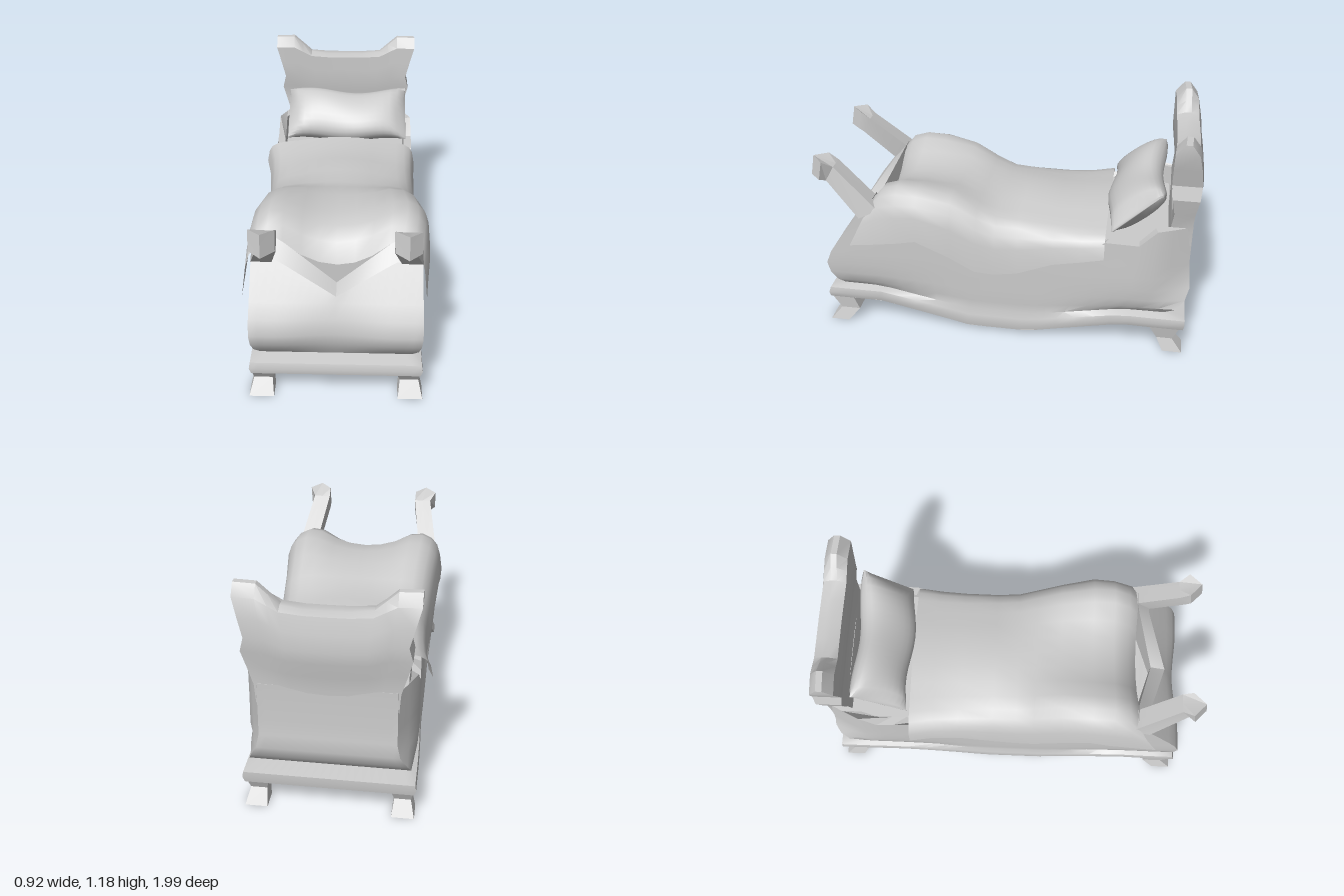
import * as THREE from 'three';
import { toCreasedNormals } from 'three/addons/utils/BufferGeometryUtils.js';

const material = new THREE.MeshStandardMaterial({ color: 0xcccccc, side: THREE.DoubleSide });
const { smoothstep: smooth, clamp, lerp } = THREE.MathUtils;
const range = (n) => Array.from({ length: n + 1 }, (_, i) => i / n);

// Surface through rows of [x, y, z] points; closed joins each row end to start
function skin(name, rows, { closed = false, crease = 0.7 } = {}) {
  const n = rows[0].length, index = [];
  for (let j = 0; j < rows.length - 1; j++)
    for (let i = 0; i < (closed ? n : n - 1); i++) {
      const k = (i + 1) % n, a = j * n + i, b = j * n + k, c = a + n, d = b + n;
      index.push(a, b, d, a, d, c);
    }
  const g = new THREE.BufferGeometry();
  g.setAttribute('position', new THREE.Float32BufferAttribute(rows.flat(2), 3));
  g.setIndex(index);
  const mesh = new THREE.Mesh(toCreasedNormals(g, crease), material);
  mesh.name = name;
  return mesh;
}

// Closed loft of rings, each end fanned from the middle of its second and second-last points
function loft(name, rings, crease) {
  const hub = (r) => r.map(() => r[1].map((v, k) => (v + r.at(-2)[k]) / 2));
  return skin(name, [hub(rings[0]), ...rings, hub(rings.at(-1))], { closed: true, crease });
}

const sag = (z) => 0.11 * clamp((0.64 - Math.abs(z)) / 0.48, 0, 1);
const middle = (z) => smooth(0.8 - Math.abs(z), 0, 0.6);
const vee = (x) => Math.max(0, 1 - Math.abs(x) / 0.28);
// Rounded narrowing at the head end
const taper = (y, z) => 1 - 0.22 * smooth(y, 0.2, 0.42) * smooth(-z, 0.74, 0.99) ** 1.3;

// Horizontal ring round the bed, counterclockwise from above
function perimeter(hx, zf, zb, place) {
  const pts = [], n = 20;
  for (let side = 0; side < 4; side++)
    for (let i = 0; i < n; i++) {
      const t = i / n;
      const x = [hx * (2 * t - 1), hx, hx * (1 - 2 * t), -hx][side];
      const z = [zf, zf + (zb - zf) * t, zb, zb + (zf - zb) * t][side];
      pts.push(place(x, z, side));
    }
  return pts;
}

function frame() {
  const group = new THREE.Group();
  group.name = 'bedFrame';
  // y, front z, back z, half width at the ends and in the middle, share of the sag, hollow of the front
  const levels = [
    [0.14, 0.925, -0.965, 0.405, 0.395, 1, 0], [0.17, 0.93, -0.97, 0.415, 0.4, 1, 0],
    [0.2, 0.92, -0.97, 0.41, 0.397, 0.9, 0], [0.213, 0.85, -0.86, 0.365, 0.385, 0.7, 0],
    [0.25, 0.88, -0.92, 0.395, 0.388, 0.55, 0.01], [0.3, 0.91, -0.96, 0.405, 0.388, 0.4, 0.02],
    [0.36, 0.923, -0.98, 0.41, 0.388, 0.25, 0.025], [0.43, 0.895, -0.972, 0.41, 0.388, 0.1, 0.015],
    [0.5, 0.85, -0.965, 0.408, 0.386, 0, 0.005],
  ];
  const walls = levels.map(([y, zf, zb, hx, mid, s, hollow]) => perimeter(hx, zf, zb, (x, z, side) =>
    [x * lerp(1, mid / hx, middle(z)) * taper(y, z), y - s * sag(z),
      side === 0 ? z - hollow * smooth(0.3 - Math.abs(x), 0, 0.3) : z]));
  // Top rim: V-cut footboard, low sides, raised head end
  const sideY = (z, foot) => (z > 0.62 ? foot : z > 0.2 ? 0.62 : z > -0.5 ? 0.55 : z > -0.72 ? 0.62 : 0.705);
  const rim = (hx, zf, zb, foot, cut, push) => perimeter(hx, zf, zb, (x, z, side) =>
    side === 0 ? [x, foot - cut * vee(x), z + push * vee(x)]
      : [x * (1 - 0.045 * middle(z)) * taper(0.7, z), side === 2 ? 0.705 : sideY(z, foot), z]);
  const outer = rim(0.405, 0.73, -0.965, 0.66, 0.13, 0.1);
  const inner = rim(0.36, 0.66, -0.86, 0.74, 0.185, 0.09);
  const floor = inner.map(([x, , z]) => [x, 0.45, z]);
  group.add(skin('frameWalls', [...walls, outer], { closed: true, crease: 0.75 }));
  group.add(skin('frameRim', [outer, inner], { closed: true, crease: 0.5 }));
  group.add(skin('frameLining', [inner, floor], { closed: true, crease: 0.5 }));

  // Curved underside
  group.add(skin('underside', range(32).map((t) => {
    const z = -0.965 + 1.89 * t, w = lerp(0.405, 0.395, middle(z));
    return [-w, 0, w].map((x) => [x, 0.14 - sag(z), z]);
  })));
  return group;
}

function headboard() {
  // Side section: [y, front z, back z, half width]
  const section = [
    [0.6, -0.86, -0.962, 0.325], [0.7, -0.855, -0.962, 0.332], [0.79, -0.865, -0.965, 0.358],
    [0.88, -0.85, -0.98, 0.38], [0.95, -0.84, -0.985, 0.362], [1.04, -0.84, -0.975, 0.385],
    [1.132, -0.84, -0.955, 0.41], [1.185, -0.885, -0.915, 0.41],
  ];
  // Raised ears: 1 at the corners, 0 in the middle
  const ear = (t) => {
    const a = Math.abs(t);
    return a > 0.5 ? lerp(0.14, 1, clamp(a * 4 - 2, 0, 1)) : 0.14 * smooth(a, 0.2, 0.5);
  };
  const point = (t, [y, , , w], z) => [
    t * w,
    y > 1.14 ? 1.077 + 0.108 * ear(t) : 0.6 + (y - 0.6) * (0.468 + 0.064 * ear(t)) / 0.532,
    z - 0.015 * (1 - t * t) * smooth(y, 0.6, 0.9)];
  const columns = [-1, -0.75, -0.62, -0.5, -0.25, 0, 0.25, 0.5, 0.62, 0.75, 1];
  const group = new THREE.Group();
  group.name = 'headboard';
  group.add(skin('headboardPanel', columns.map((t) => [
    ...section.map((s) => point(t, s, s[2])),
    ...section.slice().reverse().map((s) => point(t, s, s[1])),
  ]), { closed: true, crease: 0.5 }));
  // End faces
  for (const t of [-1, 1])
    group.add(skin('headboardEnd', section.map((s) =>
      [point(t, s, t > 0 ? s[1] : s[2]), point(t, s, t > 0 ? s[2] : s[1])]), { crease: 0.4 }));
  return group;
}

// Footpost: sloping beam with a pointed block at the tip
function footPost(side) {
  // half width, centre x, bottom z y, top z y, point push
  const rings = [
    [0.05, 0.358, 0.725, 0.645, 0.62, 0.7, 0], [0.046, 0.31, 0.9, 0.825, 0.855, 0.905, 0],
    [0.06, 0.325, 0.925, 0.84, 0.905, 0.94, 0.06],
  ].map(([w, cx, bz, by, tz, ty, p]) => {
    const x = side * cx;
    return [[x - w, by, bz], [x, by, bz + p], [x + w, by, bz],
      [x + w, ty, tz], [x, ty + p * 0.15, tz + p], [x - w, ty, tz]];
  });
  return loft('footPost', rings, 0.3);
}

// Zigzag leg, from the floor up
function leg(side, front) {
  const steps = front
    ? [[0, 0.3, 0.42, 0.83, 0.93], [0.07, 0.31, 0.4, 0.77, 0.87], [0.15, 0.29, 0.405, 0.8, 0.92]]
    : [[0, 0.3, 0.41, -0.97, -0.87], [0.07, 0.31, 0.39, -0.915, -0.835], [0.15, 0.29, 0.405, -0.95, -0.79]];
  return loft('leg', steps.map(([y, a, b, z0, z1]) => {
    const [x0, x1] = side > 0 ? [a, b] : [-b, -a];
    return [[x0, y, z1], [x1, y, z1], [x1, y, z0], [x0, y, z0]];
  }), 0.3);
}

function blanket() {
  // z, shoulder y, centre dip, hem y, half width on the right and left
  const stations = [
    [0.66, 0.735, 0.14, 0.49, 0.435, 0.415], [0.61, 0.8, 0.11, 0.51, 0.435, 0.425],
    [0.53, 0.825, 0.09, 0.54, 0.435, 0.44], [0.42, 0.82, 0.075, 0.565, 0.43, 0.445],
    [0.25, 0.79, 0.045, 0.475, 0.415, 0.425], [0.12, 0.72, 0, 0.4, 0.405, 0.42],
    [0.02, 0.675, -0.02, 0.385, 0.4, 0.408], [-0.1, 0.665, -0.04, 0.4, 0.398, 0.4],
    [-0.28, 0.65, -0.035, 0.47, 0.405, 0.397], [-0.42, 0.65, -0.03, 0.5, 0.418, 0.4],
    [-0.54, 0.66, -0.03, 0.53, 0.445, 0.405],
  ];
  // Half cross-section: share of width, share of the drop
  const half = [[0, 0], [0.2, 0], [0.4, 0], [0.6, 0], [0.76, 0.03], [0.88, 0.12], [0.96, 0.28], [1, 0.5], [1.03, 1]];
  const across = [...half.slice(1).reverse().map(([a, d]) => [-a, d]), ...half];
  return skin('blanket', stations.map(([z, y, dip, hem, right, left], i) => across.map(([a, d]) => [
    a * (a < 0 ? right : left),
    y - dip * Math.max(0, 1 - (a / 0.65) ** 2) - d * (y - hem),
    z + ([0.12, 0.06][i] ?? 0) * d,
  ])), { crease: 1.2 });
}

function pillow() {
  const rings = range(16).map((t) => {
    const s = 2 * t - 1, w = 0.15 + 0.015 * s ** 4, h = 0.012 + 0.08 * Math.sqrt(1 - s ** 4);
    return range(23).map((u) => {
      const a = u * Math.PI * 23 / 12, c = Math.cos(a), up = Math.sin(a);
      return [
        0.35 * s * (0.95 + 0.05 * c * c),
        h * Math.sign(up) * Math.abs(up) ** 0.75 - 0.012 * Math.sin(s * 4) * c,
        -w * c + 0.014 * Math.sin(s * 4 + 1.2),
      ];
    });
  });
  const mesh = loft('pillow', rings, 1.1);
  mesh.position.set(0.015, 0.772, -0.68);
  mesh.rotation.x = 0.7;
  return mesh;
}

export function createModel() {
  const model = new THREE.Group();
  model.name = 'bed';
  const mattress = new THREE.Mesh(new THREE.BoxGeometry(0.7, 0.3, 1.4), material);
  mattress.name = 'mattress';
  mattress.position.set(0, 0.45, -0.15);
  model.add(frame(), headboard(), mattress, blanket(), pillow());
  for (const side of [-1, 1])
    model.add(footPost(side), leg(side, true), leg(side, false));
  return model;
}
